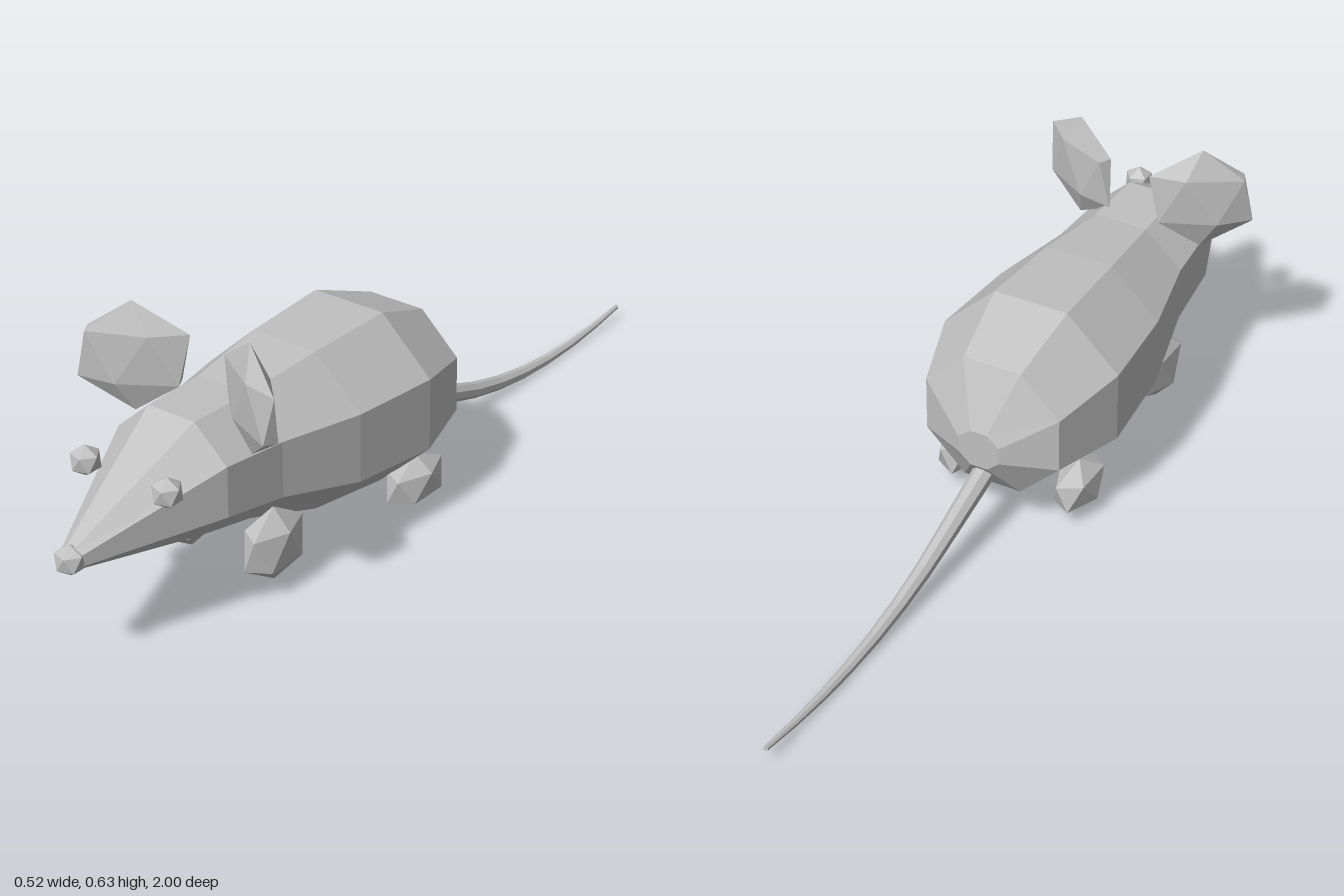
import * as THREE from 'three';
import { ConvexGeometry } from 'three/addons/geometries/ConvexGeometry.js';

const grey = new THREE.MeshStandardMaterial({ color: 0xc0c0c0, flatShading: true });
grey.name = 'grey';

// Skin over rings of points, ordered front to back, each counterclockwise seen from the front
function loft(rings) {
  const n = rings[0].length, pos = [], index = [];
  rings.forEach(r => r.forEach(p => pos.push(...p)));
  for (let i = 0; i < rings.length - 1; i++) {
    for (let j = 0; j < n; j++) {
      const k = (j + 1) % n, a = i * n + j, b = i * n + k, c = a + n, d = b + n;
      index.push(a, c, b, b, c, d);
    }
  }
  const last = (rings.length - 1) * n;
  for (let j = 1; j < n - 1; j++) {
    index.push(0, j, j + 1, last, last + j + 1, last + j);
  }
  const g = new THREE.BufferGeometry();
  g.setAttribute('position', new THREE.Float32BufferAttribute(pos, 3));
  g.setIndex(index);
  const flat = g.toNonIndexed();
  flat.computeVertexNormals();
  return flat;
}

// Icosahedron standing on a corner: two poles and two rings of five
function icosphere() {
  const pts = [new THREE.Vector3(0, 1, 0), new THREE.Vector3(0, -1, 0)];
  const h = 1 / Math.sqrt(5), r = 2 * h;
  for (let i = 0; i < 5; i++) {
    const a = i * Math.PI * 2 / 5;
    pts.push(new THREE.Vector3(r * Math.cos(a), h, r * Math.sin(a)));
    pts.push(new THREE.Vector3(-r * Math.cos(a), -h, -r * Math.sin(a)));
  }
  return new ConvexGeometry(pts);
}

export function createModel() {
  const model = new THREE.Group();
  model.name = 'mouse';
  const add = (name, geometry) => {
    const mesh = new THREE.Mesh(geometry, grey);
    mesh.name = name;
    model.add(mesh);
    return mesh;
  };

  // Body: z, heights (top, upper side, lower side, bottom), half widths (side, top, bottom)
  const sections = [
    [0.98, 0.29, 0.28, 0.26, 0.25, 0.02, 0.008, 0.008],
    [0.66, 0.46, 0.385, 0.27, 0.197, 0.143, 0.06, 0.062],
    [0.5, 0.457, 0.375, 0.247, 0.165, 0.155, 0.065, 0.065],
    [0.3, 0.475, 0.366, 0.207, 0.1, 0.2, 0.082, 0.08],
    [0.08, 0.48, 0.36, 0.193, 0.07, 0.217, 0.09, 0.085],
    [-0.09, 0.415, 0.325, 0.197, 0.105, 0.165, 0.07, 0.07],
    [-0.15, 0.275, 0.25, 0.21, 0.185, 0.05, 0.02, 0.02],
  ];
  add('body', loft(sections.map(([z, t, u, l, b, w, wt, wb]) => [
    [w, l, z], [w, u, z], [wt, t, z], [-wt, t, z],
    [-w, u, z], [-w, l, z], [-wb, b, z], [wb, b, z],
  ])));

  // Tail: eight-sided, tapering along a sagging curve
  const curve = new THREE.CatmullRomCurve3([
    [0.165, -0.1], [0.112, -0.25], [0.062, -0.4], [0.031, -0.55],
    [0.018, -0.7], [0.021, -0.85], [0.038, -0.998],
  ].map(([y, z]) => new THREE.Vector3(0, y, z)));
  const steps = 9, tail = [];
  for (let i = 0; i <= steps; i++) {
    const p = curve.getPointAt(i / steps), t = curve.getTangentAt(i / steps);
    const r = THREE.MathUtils.lerp(0.026, 0.006, i / steps);
    const ring = [];
    for (let j = 0; j < 8; j++) {
      const a = (j + 0.5) * Math.PI / 4, s = r * Math.sin(a);
      ring.push([r * Math.cos(a), p.y - t.z * s, p.z + t.y * s]);
    }
    tail.push(ring);
  }
  add('tail', loft(tail));

  // Ears, eyes, feet and nose are stretched icosahedra
  const ico = icosphere();
  const blob = (name, position, scale, turn = 0) => {
    const mesh = add(name, ico);
    mesh.position.set(...position);
    mesh.scale.set(...scale);
    mesh.rotation.y = turn;
  };
  blob('nose', [0, 0.27, 0.97], [0.035, 0.035, 0.035]);
  for (const [side, s] of [['left', 1], ['right', -1]]) {
    blob(side + 'Ear', [s * 0.154, 0.515, 0.595], [0.133, 0.125, 0.031], -s * 0.49);
    blob(side + 'Eye', [s * 0.107, 0.38, 0.8], [0.035, 0.035, 0.035]);
    blob(side + 'FrontFoot', [s * 0.112, 0.115, 0.482], [0.05, 0.087, 0.094]);
    blob(side + 'BackFoot', [s * 0.147, 0.076, 0.038], [0.052, 0.064, 0.094]);
  }
  return model;
}
